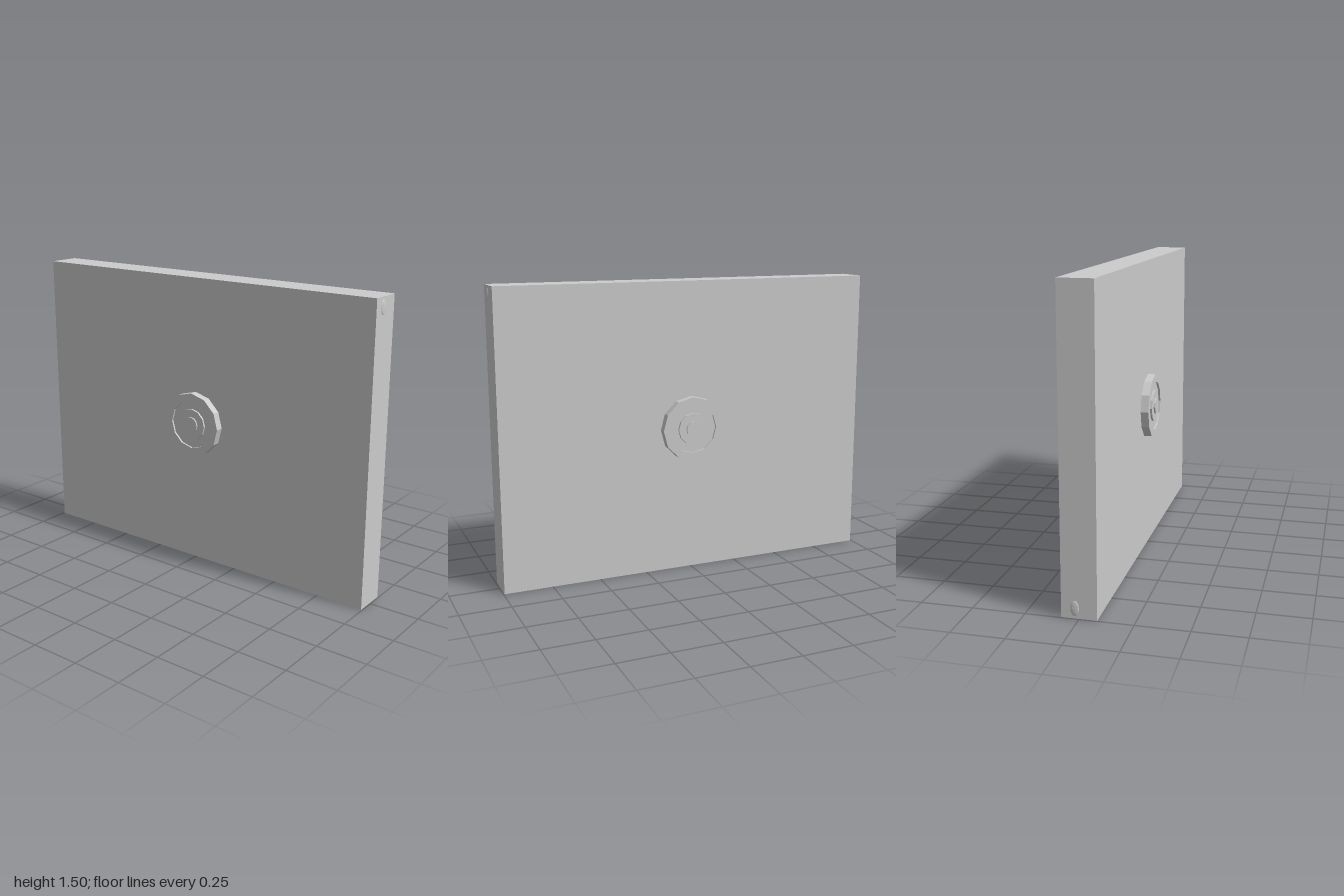
import * as THREE from 'three';

export function createModel() {
  const model = new THREE.Group();
  const material = new THREE.MeshStandardMaterial({ color: 0xcccccc, flatShading: true });
  const W = 1.99, H = 1.495, D = 0.165;

  function add(name, geometry, x, y, z) {
    const mesh = new THREE.Mesh(geometry, material);
    mesh.name = name;
    mesh.position.set(x, y, z);
    model.add(mesh);
    return mesh;
  }

  // Main slab
  add('panel', new THREE.BoxGeometry(W, H, D), 0, H / 2, 0);

  // Twelve-sided stepped boss: rim, recess, raised ring and centre button
  const profile = [
    [0.165, 0], [0.165, 0.04], [0.125, 0.04], [0.125, 0.03],
    [0.082, 0.03], [0.082, 0.04], [0.041, 0.04], [0.041, 0.048], [0, 0.048],
  ].map(([r, h]) => new THREE.Vector2(r, h));

  for (const side of [1, -1]) {
    const boss = new THREE.LatheGeometry(profile, 12);
    boss.rotateX(side * Math.PI / 2);
    add(side > 0 ? 'frontBoss' : 'backBoss', boss, 0, H / 2, side * D / 2);

    // Shallow pad on the end face, at opposite corners
    const pad = new THREE.SphereGeometry(1, 12, 8);
    pad.scale(0.005, 0.036, 0.02);
    add(side > 0 ? 'leftEndPad' : 'rightEndPad', pad,
      side * W / 2, H / 2 + side * 0.7, side * 0.02);
  }

  return model;
}
